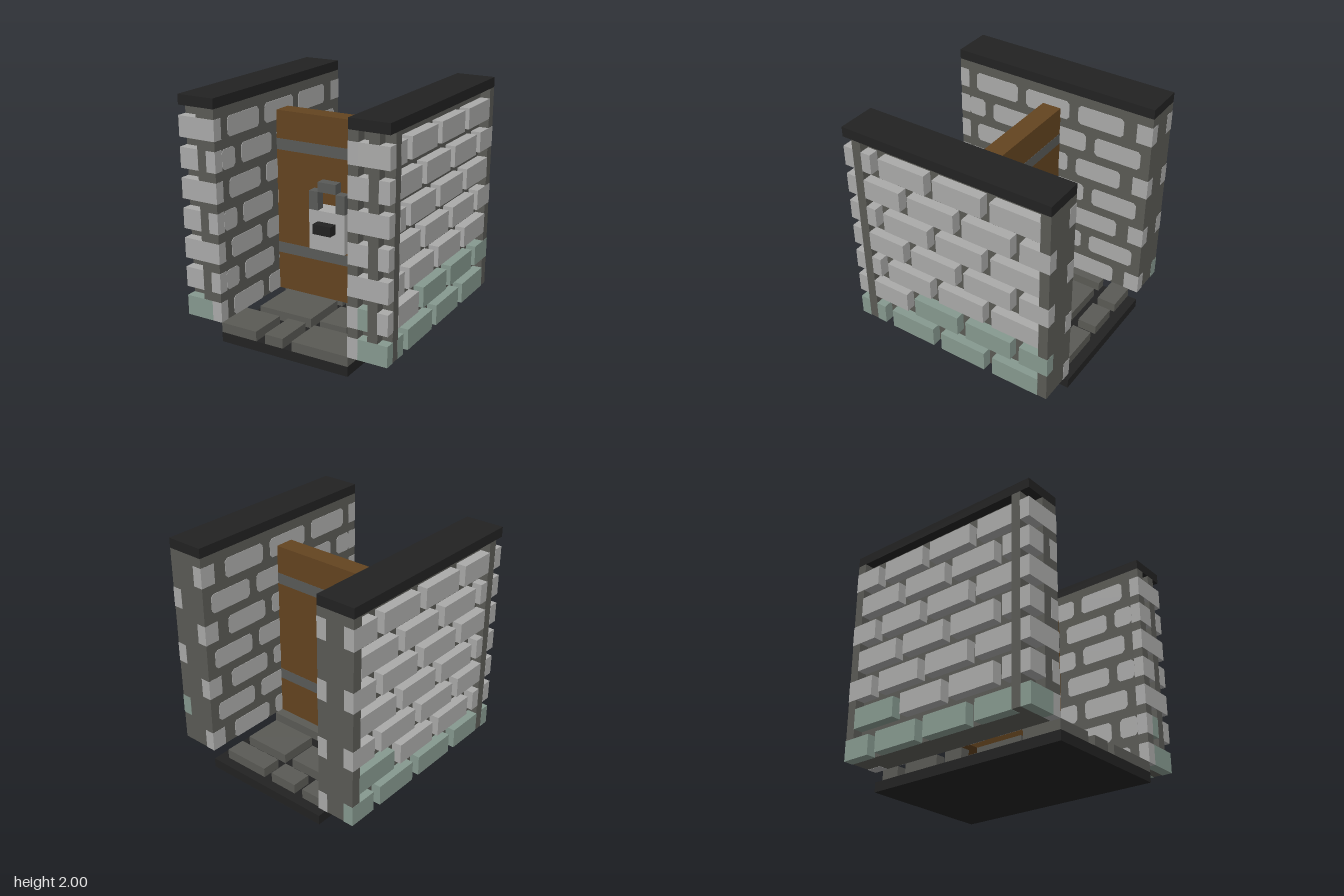
import * as THREE from 'three';

const U = 1 / 12; // block unit

const paint = (name, color) => {
  const m = new THREE.MeshStandardMaterial({ color });
  m.name = name;
  return m;
};

export function createModel() {
  const mat = {
    mortar: paint('mortar grey', 0x5a5a55),
    stone: paint('light stone', 0xaaaaa9),
    moss: paint('mossy stone', 0x86998f),
    wood: paint('brown wood', 0x644420),
    iron: paint('iron grey', 0x595a58),
    dark: paint('dark stone', 0x222222),
  };
  const model = new THREE.Group();
  model.name = 'dungeonDoorway';

  // Box between two corners given in block units; grow lifts its faces slightly
  const box = (parent, name, m, x0, x1, y0, y1, z0, z1, grow = 0) => {
    const size = (a, b) => Math.abs(b - a) * U + 2 * grow;
    const mesh = new THREE.Mesh(new THREE.BoxGeometry(size(x0, x1), size(y0, y1), size(z0, z1)), m);
    mesh.position.set((x0 + x1) / 2 * U, (y0 + y1) / 2 * U, (z0 + z1) / 2 * U);
    mesh.name = name;
    parent.add(mesh);
    return mesh;
  };

  // Thin plate with clipped corners on the inner face of a wall
  const innerPlate = (parent, s, y, z0, z1) => {
    const w = (z1 - z0) / 2 * U, h = U, c = 0.3 * U;
    const outline = [[-w + c, -h], [w - c, -h], [w, -h + c], [w, h - c], [w - c, h], [-w + c, h], [-w, h - c], [-w, -h + c]];
    const shape = new THREE.Shape(outline.map(p => new THREE.Vector2(...p)));
    const mesh = new THREE.Mesh(new THREE.ExtrudeGeometry(shape, { depth: 0.004, bevelEnabled: false }), mat.stone);
    mesh.rotation.y = -s * Math.PI / 2;
    mesh.position.set(s * 7 * U, (y + 1) * U, (z0 + z1) / 2 * U);
    mesh.name = 'innerBrick';
    parent.add(mesh);
  };

  // Brick spans along z for the two alternating courses
  const courseA = [[8, 9], [2, 7], [-4, 1], [-10, -5]];
  const courseB = [[5, 9], [-1, 4], [-7, -2], [-11, -8]];
  const innerA = [[4, 9], [-2, 3], [-8, -3]];
  const innerB = [[8, 10], [2, 7], [-4, 1], [-10, -5]];
  const G = 0.002;

  for (const s of [1, -1]) {
    const wall = new THREE.Group();
    wall.name = s > 0 ? 'leftWall' : 'rightWall';
    model.add(wall);
    const part = (name, m, x0, x1, ...rest) => box(wall, name, m, s * x0, s * x1, ...rest);

    // Mortar core with its raised strips
    part('wallCore', mat.mortar, 7, 10, 2, 23, -11, 10);
    part('innerFrontStrip', mat.mortar, 7, 8, 2, 23, 10, 11);
    const strip = s > 0 ? 9 : 8;
    part('middleFrontStrip', mat.mortar, strip, strip + 1, 2, 23, 10, 11);
    part('frontSideStrip', mat.mortar, 10, 11, 2, 23, 9, 10);
    part('backSideStrip', mat.mortar, 10, 11, 2, 23, -11, -10);
    part('wallCap', mat.dark, 7, 11, 23, 24, -11, 11);

    for (let row = 0; row < 7; row++) {
      const y = 2 + row * 3, even = row % 2 === 0;

      // Bricks on the outer side
      for (const [z0, z1] of even === (s > 0) ? courseA : courseB) {
        const mossy = row === 0 || (row === 1 && (s > 0 ? z1 < 5 : z1 === -5));
        part('outerBrick', mossy ? mat.moss : mat.stone, 10, 11, y, y + 2, z0, z1, G);
      }

      // Bricks on the front
      const spans = even ? [[7, 8], [8, 11]] : s > 0 ? [[7, 8], [8, 9], [10, 11]] : [[7, 8], [9, 11]];
      for (const [x0, x1] of spans) {
        const mossy = x0 === 8 && (row === 0 || row === 1);
        part('frontBrick', mossy ? mat.moss : mat.stone, x0, x1, y, y + 2, 10, 11, G);
      }

      // Flush bricks on the inner face and back corner
      for (const [z0, z1] of even ? innerA : innerB) innerPlate(wall, s, y, z0, z1);
      if (even) part('backCornerBrick', mat.stone, 7, 8, y, y + 2, -11, -9.4, G);
    }
  }

  // Floor base and paving, each slab as x0, x1, z0, z1
  box(model, 'floorBase', mat.dark, -7, 7, 0, 1, -11, 11);
  const slabs = [
    [-7, -4, -10, -8], [-3, 0, -10, -8], [1, 6, -10, -8],
    [-7, -6, -7, -3], [-5, 0, -7, -4], [1, 6, -7, -3],
    [-7, -6, -2, 0], [-5, 0, -3, 0], [1, 7, -2, 1],
    [-6, 0, 1, 6], [1, 4, 2, 6], [5, 7, 2, 6],
    [-7, -3, 7, 11], [-2, 0, 7, 11], [1, 7, 7, 11],
  ];
  for (const [x0, x1, z0, z1] of slabs) box(model, 'pavingSlab', mat.mortar, x0, x1, 1, 2, z0, z1);

  // Door with two iron bands
  box(model, 'door', mat.wood, -7, 7, 2, 21, -1, 1);
  for (const y of [6, 17]) box(model, 'doorBand', mat.iron, -7, 7, y, y + 1.1, -1, 1, G);

  // Padlock and handle
  const lock = new THREE.Group();
  lock.name = 'padlock';
  model.add(lock);
  box(lock, 'lockBody', mat.stone, -2, 2, 8, 12.1, 1, 3);
  for (const s of [1, -1]) box(lock, 'shackleLeg', mat.iron, s, s * 2, 12.1, 14, 2, 3);
  box(lock, 'shackleTop', mat.iron, -1, 1, 14, 15, 2, 3);
  box(lock, 'keyhole', mat.dark, -1, 1, 10, 11, 3, 4);
  box(model, 'doorHandle', mat.iron, 3, 5, 11, 13, 1, 2);

  return model;
}
